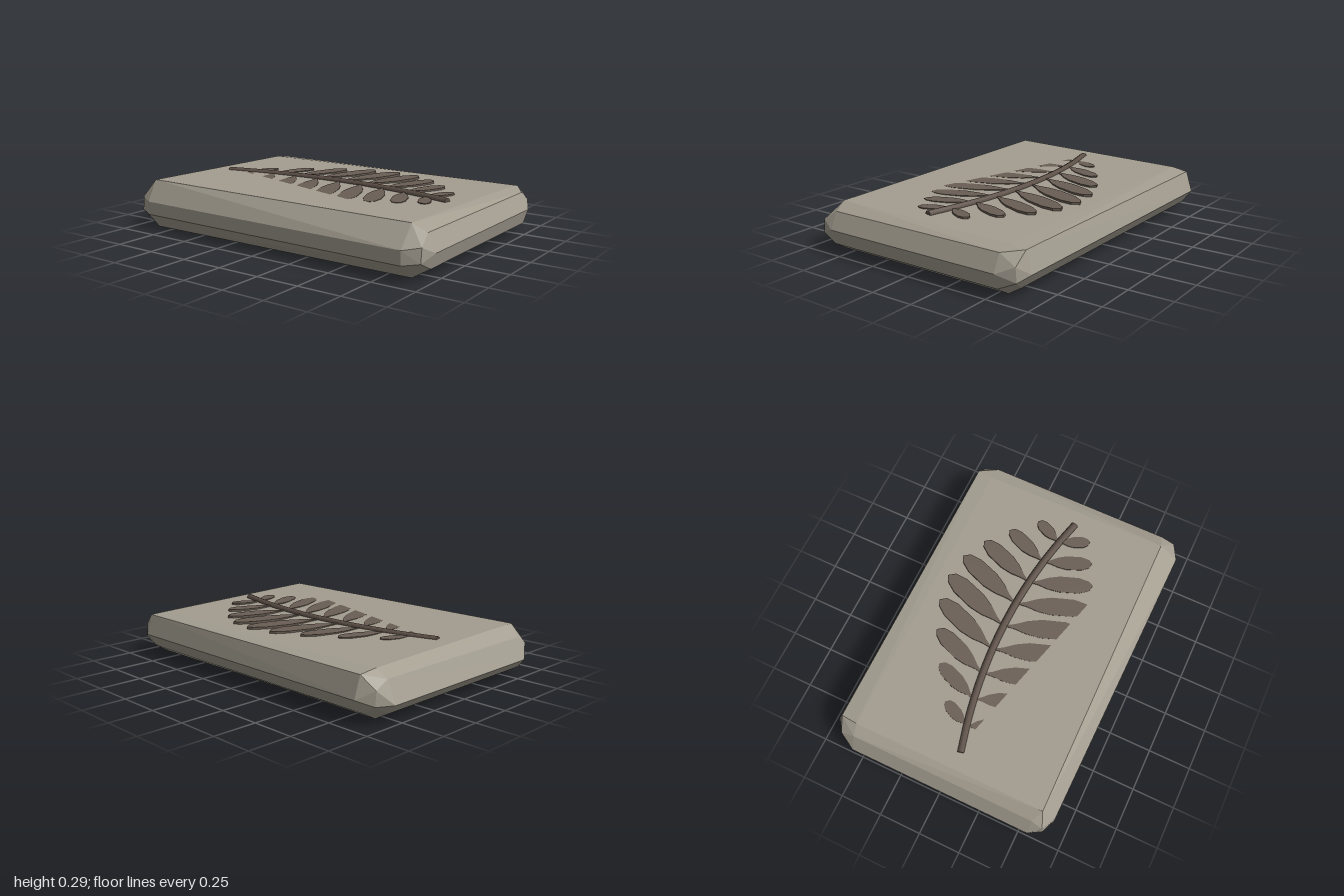
import * as THREE from 'three';
import { ConvexGeometry } from 'three/addons/geometries/ConvexGeometry.js';

const stone = new THREE.MeshStandardMaterial({ color: 0xa39d90 });
stone.name = 'stone';
const leafBrown = new THREE.MeshStandardMaterial({ color: 0x6a5e54 });
leafBrown.name = 'leafBrown';
const stemBrown = new THREE.MeshStandardMaterial({ color: 0x5d5047 });
stemBrown.name = 'stemBrown';

const LEAF_TOP = 0.274;
// gently tilted top of the slab; it swallows the tips of some front leaflets
const topHeight = (x, z) => LEAF_TOP + 0.018 * (z - 0.235) - 0.005 * x;
// curve of the fern's stem across the slab
const stemZ = (x) => -0.065 + 0.11 * (x / 0.78) ** 2;

// chipped stone slab: hull of the bevel edges on each side
function makeSlab() {
  const pts = [];
  const add = (x, y, z) => pts.push(new THREE.Vector3(x, y, z));
  // top face
  for (const [x, z] of [[-0.88, 0.59], [0.87, 0.575], [0.87, -0.56], [-0.88, -0.56]]) add(x, topHeight(x, z), z);
  // front and back edges, left end then right end
  for (const [y, zl, zr] of [[0.165, 0.665, 0.69], [0.088, 0.665, 0.69], [0, 0.59, 0.58],
    [0.25, -0.66, -0.655], [0.13, -0.7, -0.69], [0.05, -0.64, -0.63], [0, -0.55, -0.55]]) {
    add(-0.87, y, zl);
    add(0.88, y, zr);
  }
  // left and right edges
  for (const [x, y] of [[-0.945, 0.22], [-1, 0.1], [-0.96, 0.05], [0.95, 0.235], [0.997, 0.14], [0.97, 0.055]]) {
    add(x, y, 0.555);
    add(x, y, -0.55);
  }
  // clipped corners
  for (const [x, z] of [[0.965, 0.645], [0.95, -0.65], [-0.95, -0.64], [-0.955, 0.63]]) {
    add(x, 0.18, z * 0.99);
    add(x, 0.1, z);
  }
  const slab = new THREE.Mesh(new ConvexGeometry(pts), stone);
  slab.name = 'slab';
  return slab;
}

// one flat leaflet, swept towards +x; side is 1 for back, -1 for front
function makeLeaflet(x, length, side) {
  const dx = 0.03 + 0.29 * length;
  const axis = new THREE.Vector2(dx, length * side);
  const across = new THREE.Vector2(-axis.y, axis.x).normalize();
  const half = 0.022 + 0.08 * length;
  const root = new THREE.Vector2(x, -stemZ(x));
  const outline = [[0, 0], [0.15, 0.28], [0.3, 0.72], [0.48, 1], [0.78, 0.98], [0.94, 0.6], [1, 0.1],
    [0.94, -0.6], [0.78, -0.98], [0.48, -1], [0.3, -0.72], [0.15, -0.28]];
  const shape = new THREE.Shape(outline.map(([u, v]) =>
    root.clone().addScaledVector(axis, u).addScaledVector(across, v * half)));
  const geo = new THREE.ExtrudeGeometry(shape, { depth: 0.03, bevelEnabled: false });
  geo.rotateX(-Math.PI / 2).translate(0, LEAF_TOP - 0.03, 0);
  const leaf = new THREE.Mesh(geo, leafBrown);
  leaf.name = side > 0 ? 'backLeaflet' : 'frontLeaflet';
  return leaf;
}

// curved round stem with closed ends
function makeStem() {
  const stem = new THREE.Group();
  stem.name = 'stem';
  const path = [];
  for (let i = 0; i <= 8; i++) {
    const x = -0.78 + i * 0.195;
    path.push(new THREE.Vector3(x, 0.268, stemZ(x)));
  }
  const curve = new THREE.CatmullRomCurve3(path);
  const tube = new THREE.Mesh(new THREE.TubeGeometry(curve, 24, 0.022, 8), stemBrown);
  tube.name = 'stemTube';
  stem.add(tube);
  for (const t of [0, 1]) {
    const cap = new THREE.Mesh(new THREE.CircleGeometry(0.022, 8), stemBrown);
    const end = curve.getPoint(t);
    cap.position.copy(end);
    cap.lookAt(end.clone().addScaledVector(curve.getTangent(t), t ? 1 : -1));
    cap.name = 'stemEnd';
    stem.add(cap);
  }
  return stem;
}

export function createModel() {
  const model = new THREE.Group();
  model.name = 'fernFossil';
  model.add(makeSlab(), makeStem());
  // nine pairs of leaflets, longest in the middle
  const leaflets = new THREE.Group();
  leaflets.name = 'leaflets';
  for (let i = 0; i < 9; i++) {
    const length = 0.17 + 0.265 * Math.sin((Math.PI * i) / 8);
    for (const side of [1, -1]) leaflets.add(makeLeaflet(-0.63 + i * 0.1575, length, side));
  }
  model.add(leaflets);
  return model;
}
